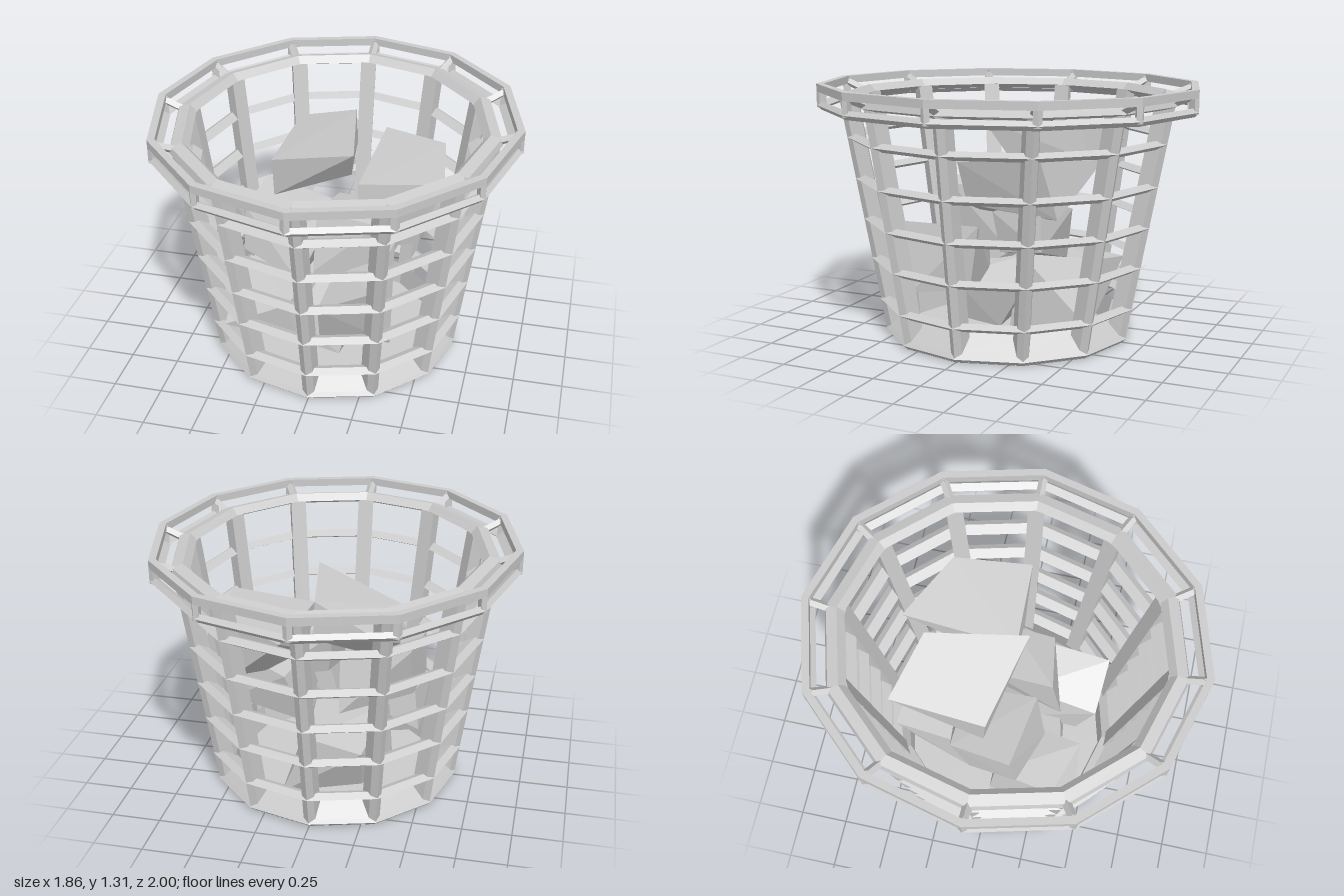
import * as THREE from 'three';
import { ConvexGeometry } from 'three/addons/geometries/ConvexGeometry.js';

const SIDES = 12;
const mat = new THREE.MeshStandardMaterial({ color: 0xcccccc, flatShading: true });
const sheetMat = new THREE.MeshStandardMaterial({ color: 0xcccccc, flatShading: true, side: THREE.DoubleSide });

// Outer radii of the flaring wall at height y: round at the foot, oval at the top
const wall = (y) => [0.65 + 0.14 * y, 0.65 + 0.19 * y];
const WALL_TOP = 1.235;
const LIP = [0.932, 1.0];

// Point at angle a: dr is outward from the radii, t is sideways
function at(a, [rx, rz], dr, y, t = 0) {
  const s = Math.sin(a), c = Math.cos(a);
  return new THREE.Vector3((rx + dr) * s + t * c, y, (rz + dr) * c - t * s);
}

// Skin a row of closed cross-sections; capped unless the path is closed
function loft(rows, closed) {
  const pos = [], n = rows.length, m = rows[0].length;
  const tri = (...p) => p.forEach((v) => pos.push(v.x, v.y, v.z));
  for (let i = 0; i < (closed ? n : n - 1); i++) {
    const A = rows[i], B = rows[(i + 1) % n];
    for (let j = 0; j < m; j++) {
      const k = (j + 1) % m;
      tri(A[j], B[j], B[k]);
      tri(A[j], B[k], A[k]);
    }
  }
  if (!closed) {
    const A = rows[0], B = rows[n - 1];
    for (let j = 1; j < m - 1; j++) {
      tri(A[0], A[j], A[j + 1]);
      tri(B[0], B[j + 1], B[j]);
    }
  }
  const g = new THREE.BufferGeometry();
  g.setAttribute('position', new THREE.Float32BufferAttribute(pos, 3));
  g.computeVertexNormals();
  return g;
}

const angles = Array.from({ length: SIDES }, (_, i) => (i / SIDES) * Math.PI * 2);

// Twelve-sided hoop with a section of [outward, up] points
const hoop = (radii, y, section) =>
  loft(angles.map((a) => section.map(([dr, dy]) => at(a, radii, dr, y + dy))), true);

// Upright bar with a section of [sideways, outward] points
const upright = (a, r0, y0, r1, y1, section) =>
  loft([[r0, y0], [r1, y1]].map(([r, y]) => section.map(([t, dr]) => at(a, r, dr, y, t))), false);

// Chunky angular rock: the corners of a block, shaken and skewed, filling the given size
function rock(seed, size, skew) {
  let s = seed * 7919 + 13;
  const rnd = () => (s = (s * 16807) % 2147483647) / 2147483647;
  rnd();
  const pts = [];
  for (const x of [-1, 1]) for (const y of [-1, 1]) for (const z of [-1, 1]) {
    const p = new THREE.Vector3(x, y, z);
    p.multiply(new THREE.Vector3(0.35 + 0.65 * rnd(), 0.4 + 0.6 * rnd(), 0.35 + 0.65 * rnd()));
    p.y += skew * p.x;
    pts.push(p);
  }
  const box = new THREE.Box3().setFromPoints(pts);
  const c = box.getCenter(new THREE.Vector3()), d = box.getSize(new THREE.Vector3());
  pts.forEach((p) => p.sub(c).divide(d).multiply(size));
  return new ConvexGeometry(pts);
}

export function createModel() {
  const model = new THREE.Group();
  const add = (name, geo, parent = model) => {
    const mesh = new THREE.Mesh(geo, mat);
    mesh.name = name;
    parent.add(mesh);
    return mesh;
  };
  const group = (name) => {
    const g = new THREE.Group();
    g.name = name;
    model.add(g);
    return g;
  };

  // Floor sheet with a thick frame rising to an inner ridge
  const floor = add('floor', new THREE.CircleGeometry(0.64, SIDES));
  floor.material = sheetMat;
  floor.rotation.set(Math.PI / 2, 0, 0);
  floor.position.y = 0.004;
  add('floorFrame', hoop([0.655, 0.655], 0, [[-0.02, 0], [0, 0.02], [-0.015, 0.04], [-0.1, 0.145], [-0.115, 0.015]]));

  // Wall hoops, with a heavier one closing the wall at the top
  const hoops = group('wallHoops');
  const diamond = [[0, 0], [-0.035, 0.022], [-0.085, 0], [-0.035, -0.022]];
  for (const y of [0.18, 0.4, 0.61, 0.82, 1.035]) add('wallHoop', hoop(wall(y), y, diamond), hoops);
  const heavy = [[0.01, -0.01], [0, 0.02], [-0.055, 0.035], [-0.09, 0], [-0.035, -0.025]];
  add('wallTopHoop', hoop(wall(WALL_TOP), WALL_TOP, heavy), hoops);

  // Wall posts: ridged outside, broad and flat inside
  const posts = group('wallPosts');
  const postSection = [[0, 0], [-0.03, -0.025], [-0.042, -0.095], [0.042, -0.095], [0.03, -0.025]];
  for (const a of angles) {
    add('wallPost', upright(a, wall(0), 0.02, wall(WALL_TOP), WALL_TOP, postSection), posts);
  }

  // Folded rim: two outer hoops, short posts and spokes rising from the wall
  const rim = group('rim');
  const square = [[0, -0.02], [0, 0.02], [-0.038, 0.02], [-0.038, -0.02]];
  add('rimTopHoop', hoop(LIP, 1.29, square), rim);
  add('rimLowerHoop', hoop(LIP, 1.2, [[0, 0], [-0.02, 0.022], [-0.055, 0], [-0.02, -0.022]]), rim);
  const small = [[0, 0], [-0.022, -0.015], [0, -0.05], [0.022, -0.015]];
  const spoke = [[0, 0.022], [0.022, 0], [0, -0.022], [-0.022, 0]];
  for (const a of angles) {
    add('rimPost', upright(a, LIP, 1.19, LIP, 1.3, small), rim);
    const ends = [[wall(WALL_TOP), -0.03, WALL_TOP], [LIP, -0.01, 1.287]];
    add('rimSpoke', loft(ends.map(([r, dr, y]) => spoke.map(([t, dy]) => at(a, r, dr, y + dy, t))), false), rim);
  }

  // Rocks in the basket: centre, size, skew
  const rocks = group('rocks');
  [
    [-0.12, 0.95, -0.21, 0.46, 0.36, 0.62, 0.4],
    [0.34, 0.82, -0.26, 0.44, 0.36, 0.62, 0.1],
    [-0.25, 0.62, 0.0, 0.42, 0.36, 0.5, -0.3],
    [0.14, 0.67, 0.1, 0.38, 0.42, 0.42, -0.2],
    [0.18, 0.41, 0.27, 0.38, 0.4, 0.48, 0.2],
    [-0.28, 0.32, 0.24, 0.4, 0.3, 0.46, -0.3],
    [-0.08, 0.24, -0.3, 0.5, 0.4, 0.5, -0.2],
    [0.27, 0.62, -0.22, 0.38, 0.36, 0.4, 0.3],
    [-0.02, 0.22, 0.1, 0.38, 0.36, 0.5, -0.2],
  ].forEach(([x, y, z, w, h, d, skew], i) => {
    add('rock', rock(i + 1, new THREE.Vector3(w, h, d), skew), rocks).position.set(x, y, z);
  });

  return model;
}
